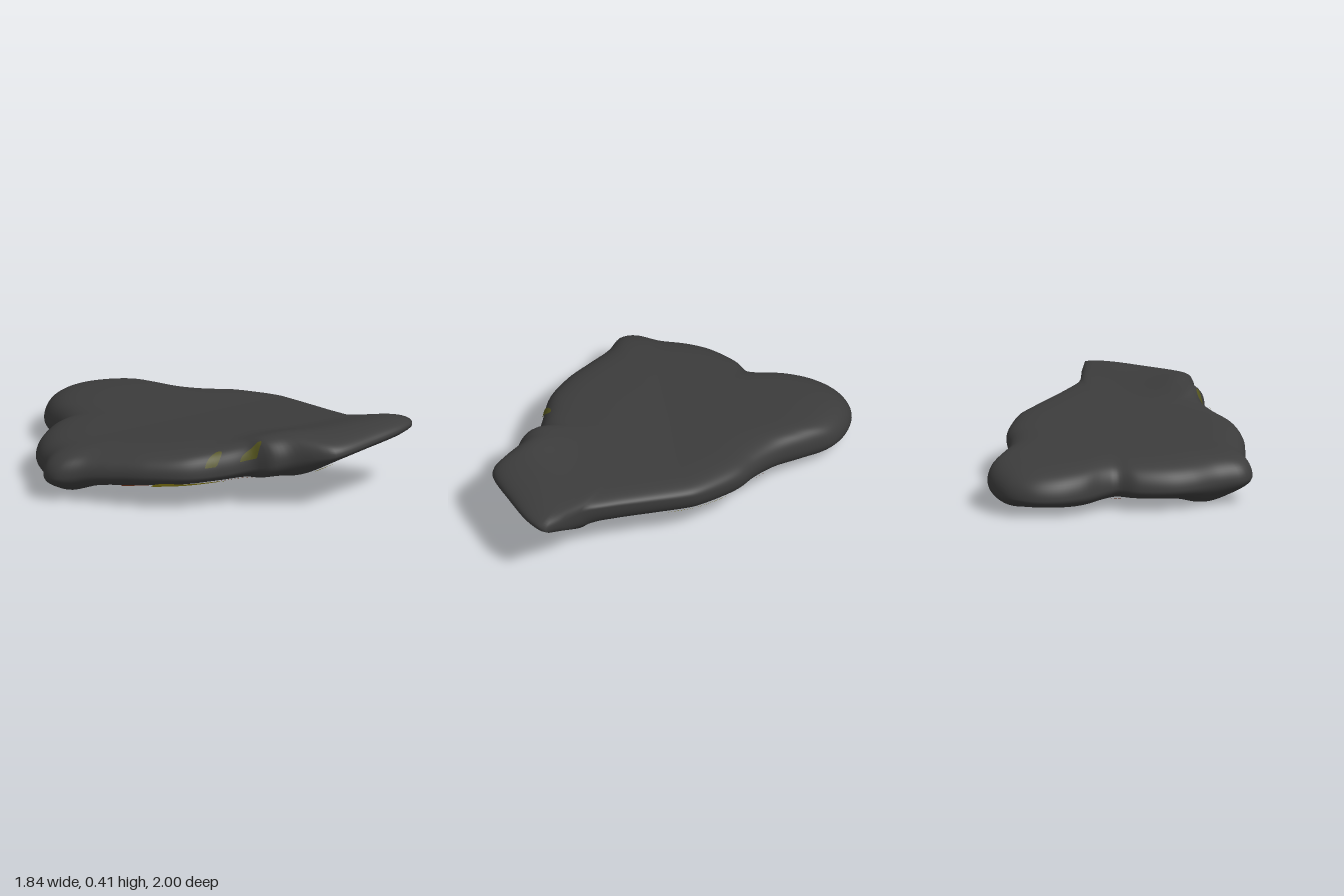
import * as THREE from 'three';

const mat = (name, color) => new THREE.MeshStandardMaterial({ name, color });
const M = {
  body: mat('charcoal', 0x3c3c3c),
  yellow: mat('yellow', 0xa4961a), red: mat('rust red', 0x8f4526),
  green: mat('dark green', 0x295f2d), lime: mat('leaf green', 0x62902f),
  blue: mat('navy blue', 0x243f6c), olive: mat('olive', 0x54541e),
};

// Outline of the fish seen from above: x, z pairs
const OUTLINE = [
  .62, 0, .66, .2, .70, .4, .75, .57, .85, .69, .92, .79, .84, .86, .62, .94, .35, 1, .27, .95,
  .17, .86, .06, .81, 0, .73, -.17, .67, -.36, .61, -.52, .5, -.66, .36, -.78, .24, -.9, .16,
  -.92, .08, -.86, -.05, -.82, -.2, -.76, -.32, -.63, -.45, -.53, -.5, -.505, -.58, -.49, -.72,
  -.43, -.86, -.33, -.96, -.2, -1, -.05, -.96, .07, -.87, .14, -.74, .22, -.57, .33, -.43,
  .44, -.33, .53, -.2, .6, -.07,
];
const TAU = Math.PI * 2, STEPS = 720;

// Distance from the centre to the outline for each direction
const radii = (() => {
  const pts = [];
  for (let i = 0; i < OUTLINE.length; i += 2) pts.push(new THREE.Vector3(OUTLINE[i], 0, OUTLINE[i + 1]));
  const ring = new THREE.CatmullRomCurve3(pts, true, 'centripetal').getPoints(500);
  return Array.from({ length: STEPS }, (_, k) => {
    const c = Math.cos(k / STEPS * TAU), s = Math.sin(k / STEPS * TAU);
    let best = 0;
    for (let i = 0; i < ring.length - 1; i++) {
      const p = ring[i], q = ring[i + 1];
      const dp = c * p.z - s * p.x, dq = c * q.z - s * q.x;
      if (dp * dq > 0 || dp === dq) continue;
      const t = dp / (dp - dq);
      best = Math.max(best, c * (p.x + (q.x - p.x) * t) + s * (p.z + (q.z - p.z) * t));
    }
    return best;
  });
})();
function radiusAt(a) {
  const f = ((a / TAU) % 1 + 1) % 1 * STEPS, i = Math.floor(f);
  return THREE.MathUtils.lerp(radii[i % STEPS], radii[(i + 1) % STEPS], f - i);
}
const edgeRatio = (x, z) => Math.hypot(x, z) / radiusAt(Math.atan2(z, x));

// Heights of rim, upper face and underside
const smooth = THREE.MathUtils.smoothstep;
const bump = (x, z, cx, cz, r) => Math.exp(-((x - cx) ** 2 + (z - cz) ** 2) / (r * r));
const rimY = (x, z) => .21 + .09 * x + .085 * z - .05 * bump(x, z, -.15, .68, .33);
const rounded = (rim, flat, s, power) => rim + (flat - rim) * Math.sqrt(Math.max(0, 1 - s ** power));
function topY(x, z, s = edgeRatio(x, z)) {
  const flat = .30 + .04 * x + (z > 0 ? .07 : .04) * z + .035 * smooth(z, .5, .8)
    + .03 * bump(x, z, .12, .75, .2);      // tail root
  return rounded(rimY(x, z), flat, s, 10);
}
function bottomY(x, z, s = edgeRatio(x, z)) {
  const flat = .10 + .05 * x + .06 * z
    + .1 * smooth(.5 * x + z, .85, 1.25)   // thin tail
    - .07 * bump(x, z, -.72, -.02, .16)    // side fin
    - .025 * bump(x, z, -.3, -.65, .12)    // cheek
    - .03 * bump(x, z, -.1, -.86, .12);    // snout
  return rounded(rimY(x, z), flat, s, 10 - 4 * bump(x, z, -.2, .65, .45));
}

// Grid of rings, closed around; faces point down for growing rings
function ringGeometry(rows, cols, point) {
  const pos = [], idx = [];
  for (let i = 0; i <= rows; i++) for (let j = 0; j < cols; j++) pos.push(...point(i, j / cols * TAU));
  for (let i = 0; i < rows; i++) for (let j = 0; j < cols; j++) {
    const n = (j + 1) % cols, a = i * cols + j, b = a + cols, c = (i + 1) * cols + n, d = i * cols + n;
    idx.push(a, b, c, a, c, d);
  }
  const g = new THREE.BufferGeometry();
  g.setAttribute('position', new THREE.Float32BufferAttribute(pos, 3));
  g.setIndex(idx);
  g.computeVertexNormals();
  return g;
}

export function createModel() {
  const model = new THREE.Group();
  model.name = 'ceramicFish';

  // Slab body, underside centre to rim to upper centre
  const HALF = 32;
  const body = new THREE.Mesh(ringGeometry(HALF * 2, 240, (i, a) => {
    const s = i === HALF ? 1 : Math.sin(i / HALF * Math.PI / 2);
    const r = s * radiusAt(a), x = r * Math.cos(a), z = r * Math.sin(a);
    return [x, i <= HALF ? bottomY(x, z, s) : topY(x, z, s), z];
  }), M.body);
  body.name = 'body';
  model.add(body);

  // Painted patch that follows the underside, or the upper face when side is -1
  function patch(name, material, cx, cz, hl, hw, dir = [1, 0], lift = .006, point = 0, side = 1) {
    const len = Math.hypot(...dir), c = dir[0] / len, s = dir[1] / len;
    const height = side > 0 ? bottomY : topY;
    const geo = ringGeometry(8, 32, (i, a) => {
      const k = i / 8, taper = 1 - point * Math.max(0, Math.cos(a));
      const u = k * hl * Math.cos(a), v = side * k * hw * Math.sin(a) * taper;
      let x = cx + c * u - s * v, z = cz + s * u + c * v;
      const edge = edgeRatio(x, z);
      if (edge > .99) { x *= .99 / edge; z *= .99 / edge; }
      const e = .004;
      const n = new THREE.Vector3(height(x + e, z) - height(x - e, z), -2 * e,
        height(x, z + e) - height(x, z - e)).normalize().multiplyScalar(lift * side);
      return [x + n.x, height(x, z) + n.y, z + n.z];
    });
    const mesh = new THREE.Mesh(geo, material);
    mesh.name = name;
    model.add(mesh);
  }

  // Back fin: blue band with a yellow bar
  patch('backBand', M.blue, .41, -.03, .34, .075, [.45, .62], .005);
  patch('backBar', M.yellow, .5, -.09, .21, .05, [.4, .9], .009);

  // Lower fin: red toothed band with a yellow bar
  patch('lowerBand', M.red, -.27, .5, .37, .08, [.57, .27], .005);
  for (let i = 0; i < 6; i++) {
    patch('lowerTooth', M.red, -.46 + i * .1, .37 + i * .042, .07, .035, [.4, -.9], .005);
  }
  patch('lowerBar', M.yellow, -.29, .55, .21, .065, [.9, .32], .009);

  // Leaves on the flank
  patch('darkLeaf', M.green, .49, .27, .15, .12, [.3, .9], .008);
  patch('darkLeaf', M.green, -.39, .19, .16, .15, [.8, .5], .008);
  patch('lightLeaf', M.lime, .12, -.19, .19, .16, [.6, -.5], .008, .5);
  patch('lightLeaf', M.lime, .02, .33, .19, .16, [.7, -.6], .008, .5);

  // Gill: blue band with a fan of red stripes
  patch('gillBand', M.blue, -.11, -.43, .35, .1, [1, 0], .005);
  for (let i = 0; i < 8; i++) {
    const x = .22 - i * .097, z = -.47 + .08 * Math.sin(i / 7 * Math.PI);
    patch('gillStripe', M.red, x, z, .125, .033, [-.14 - x, -.8 - z], .009);
  }
  patch('eye', M.blue, -.13, -.7, .06, .055);

  // Tail streaks, and spots on the upper rim
  patch('tailStreak', M.yellow, .6, .76, .18, .1, [1, -.1], .008);
  patch('tailStreak', M.yellow, .38, .87, .09, .045, [1, -.1], .008);
  patch('rimSpot', M.olive, -.2, .64, .06, .02, [1, -.25], .006, 0, -1);
  patch('rimSpot', M.olive, -.01, .713, .06, .02, [1, .3], .006, 0, -1);

  return model;
}
